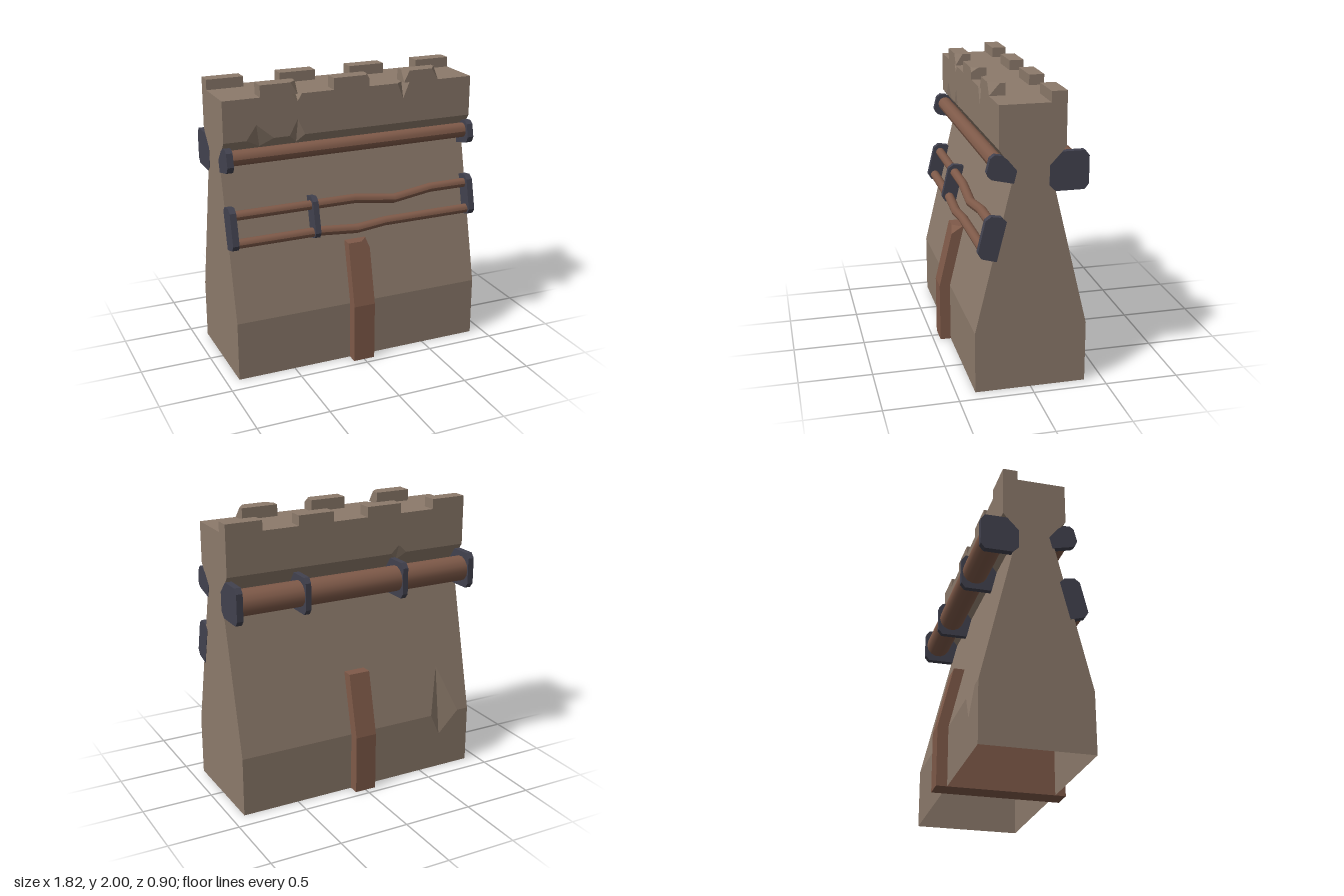
import * as THREE from 'three';
import { ConvexGeometry } from 'three/addons/geometries/ConvexGeometry.js';

const V = (x, y, z) => new THREE.Vector3(x, y, z);
const W = 0.908; // half width of the wall

const mat = (name, color, extra = {}) => {
  const m = new THREE.MeshStandardMaterial({ color, ...extra });
  m.name = name;
  return m;
};

// Wall section as [z, y], from the front foot over the top to the back foot
const half = [[0.375, 0], [0.375, 0.42], [0.115, 1.5], [0.217, 1.64], [0.217, 1.92]];
const section = [...half, ...half.map(([z, y]) => [-z, y]).reverse()];

// Chips: [section edge, left x, right x, [x, t] on the panel before, [x, t] on the panel after]
const chips = [
  [3, -0.75, -0.56, [-0.65, 0.6], [-0.68, 0.36]],
  [3, -0.45, -0.34, [-0.39, 0.6], [-0.39, 0.39]],
  [4, -0.43, -0.36, [-0.39, 0.82], [-0.39, 0.1]],
  [4, 0.34, 0.43, [0.385, 0.61], [0.39, 0.1]],
  [6, -0.44, -0.32, [-0.38, 0.8], [-0.38, 0.43]],
  [8, -0.82, -0.59, [-0.67, 0.68], [-0.66, 0.38]],
];

// Point on panel i at x, t of the way along the section
function onPanel(i, x, t) {
  const [a, b] = [section[i], section[i + 1]];
  return V(x, a[1] + (b[1] - a[1]) * t, a[0] + (b[0] - a[0]) * t);
}

// Chipped wall, open underneath
function wallGeometry() {
  const pts = [];
  const fill = (outline, place, flip) => {
    for (const f of THREE.ShapeUtils.triangulateShape(outline, [])) {
      const tri = f.map((k) => place(outline[k]));
      pts.push(...(flip ? tri.reverse() : tri));
    }
  };
  for (let i = 0; i < section.length - 1; i++) {
    const outline = [[-W, 0]];
    for (const [k, l, r, , after] of chips) {
      if (k === i) outline.push([l, 0], after, [r, 0]);
    }
    outline.push([W, 0], [W, 1]);
    for (const [k, l, r, before] of [...chips].reverse()) {
      if (k === i + 1) outline.push([r, 1], before, [l, 1]);
    }
    outline.push([-W, 1]);
    fill(outline.map((p) => new THREE.Vector2(...p)), (p) => onPanel(i, p.x, p.y), false);
  }
  // two sloping facets inside each chip
  for (const [k, l, r, before, after] of chips) {
    const a = onPanel(k - 1, ...before), b = onPanel(k, ...after);
    pts.push(onPanel(k, l, 0), a, b, a, onPanel(k, r, 0), b);
  }
  // end walls
  for (const x of [-W, W]) {
    fill(section.map((p) => new THREE.Vector2(...p)), (p) => V(x, p.y, p.x), x > 0);
  }
  const g = new THREE.BufferGeometry().setFromPoints(pts);
  g.computeVertexNormals();
  return g;
}

// Battlement block; cutL and cutR are [dx, dy, dz] taken off the top front corners
function merlon(x0, x1, z0, z1, top, cutL, cutR) {
  const pts = [];
  for (const [x, s, cut] of [[x0, 1, cutL], [x1, -1, cutR]]) {
    pts.push(V(x, 1.92, z0), V(x, 1.92, z1), V(x, top, z0));
    if (cut) {
      pts.push(V(x + s * cut[0], top, z1), V(x, top - cut[1], z1), V(x, top, z1 - cut[2]));
    } else pts.push(V(x, top, z1));
  }
  return new ConvexGeometry(pts);
}

// Flat bracket from a [z, y] outline, standing across x
function bracket(outline, x0, x1) {
  const shape = new THREE.Shape(outline.map(([z, y]) => new THREE.Vector2(-z, y)));
  const g = new THREE.ExtrudeGeometry(shape, { depth: x1 - x0, bevelEnabled: false });
  return g.rotateY(Math.PI / 2).translate(x0, 0, 0);
}

// Pipe whose rings follow [x, y, z] stations
function pipe(radius, path) {
  const sides = 14, n = path.length;
  const g = new THREE.CylinderGeometry(radius, radius, 1, sides, n - 1, true).rotateZ(Math.PI / 2);
  const p = g.attributes.position;
  for (let i = 0; i < p.count; i++) {
    const [x, y, z] = path[n - 1 - Math.floor(i / (sides + 1))];
    p.setXYZ(i, x, p.getY(i) + y, p.getZ(i) + z);
  }
  // rings run from the -x end of the rotated cylinder
  if (path[0][0] < path[n - 1][0]) {
    const idx = g.index;
    for (let i = 0; i < idx.count; i += 3) {
      const b = idx.getX(i + 1);
      idx.setX(i + 1, idx.getX(i + 2));
      idx.setX(i + 2, b);
    }
  }
  g.computeVertexNormals();
  return g;
}

export function createModel() {
  const model = new THREE.Group();
  model.name = 'battlementWall';
  const stone = mat('stone', 0x8c7a6b, { side: THREE.DoubleSide });
  const rust = mat('rustBrown', 0x7f5a49, { side: THREE.DoubleSide });
  const iron = mat('darkIron', 0x42424f);
  const add = (name, geometry, material) => {
    const m = new THREE.Mesh(geometry, material);
    m.name = name;
    model.add(m);
  };

  add('wall', wallGeometry(), stone);

  // Battlements: three chipped blocks in front, four whole ones behind
  const front = [
    [-0.65, -0.39, null, [0.05, 0.079, 0.05]],
    [-0.13, 0.13, null, [0.03, 0.03, 0.05]],
    [0.39, 0.65, [0.04, 0.079, 0.05], [0.05, 0.079, 0.07]],
  ];
  for (const [x0, x1, l, r] of front) add('frontMerlon', merlon(x0, x1, 0.11, 0.217, 2, l, r), stone);
  for (const [x0, x1] of [[-W, -0.65], [-0.39, -0.13], [0.13, 0.39], [0.65, W]]) {
    add('backMerlon', merlon(x0, x1, -0.217, -0.115, 1.99), stone);
  }

  // Buttress slab passing through the wall, with one broken corner
  const b = 0.078, slab = [];
  for (const x of [-b, b]) {
    for (const s of [-1, 1]) {
      slab.push(V(x, 0, 0.45 * s), V(x, 0.42, 0.45 * s));
      if (x < 0 || s < 0) slab.push(V(x, 0.86, 0.345 * s));
    }
  }
  slab.push(V(0.02, 0.86, 0.345), V(b, 0.81, 0.357), V(b, 0.86, 0.28));
  add('buttress', new ConvexGeometry(slab), rust);

  // Pipes
  const end = 0.885;
  add('frontUpperPipe', pipe(0.052, [[-end, 1.533, 0.21], [end, 1.533, 0.21]]), rust);
  add('backPipe', pipe(0.09, [[-end, 1.48, -0.27], [end, 1.48, -0.27]]), rust);
  const bent = (z, stations) => stations.map(([x, y]) => [x, y, z - (y - stations[0][1]) * 0.24]);
  add('bentPipeUpper', pipe(0.033,
    bent(0.255, [[-end, 1.15], [0, 1.15], [0.3, 1.112], [0.59, 1.15], [end, 1.15]])), rust);
  add('bentPipeLower', pipe(0.033,
    bent(0.3, [[-end, 0.968], [-0.26, 0.968], [0, 0.947], [0.22, 0.968], [end, 0.968]])), rust);

  // Brackets
  const upper = [[0.12, 1.418], [0.26, 1.45], [0.28, 1.465], [0.294, 1.497], [0.272, 1.587],
    [0.243, 1.608], [0.2, 1.603], [0.164, 1.578], [0.1, 1.5]];
  const lower = [[0.23, 0.908], [0.255, 0.913], [0.33, 0.935], [0.353, 0.972], [0.302, 1.185],
    [0.265, 1.212], [0.195, 1.2], [0.165, 1.17]];
  const back = [[-0.19, 1.605], [-0.34, 1.605], [-0.368, 1.57], [-0.368, 1.385], [-0.34, 1.35],
    [-0.15, 1.35], [-0.11, 1.39], [-0.11, 1.52]];
  for (const [x0, x1] of [[-0.91, -0.865], [0.865, 0.91]]) {
    add('frontUpperBracket', bracket(upper, x0, x1), iron);
    add('frontLowerBracket', bracket(lower, x0, x1), iron);
    add('backBracket', bracket(back, x0, x1), iron);
  }
  add('frontLowerBracket', bracket(lower, -0.323, -0.283), iron);
  for (const x of [-0.345, 0.4]) add('backBracket', bracket(back, x - 0.02, x + 0.02), iron);
  return model;
}
